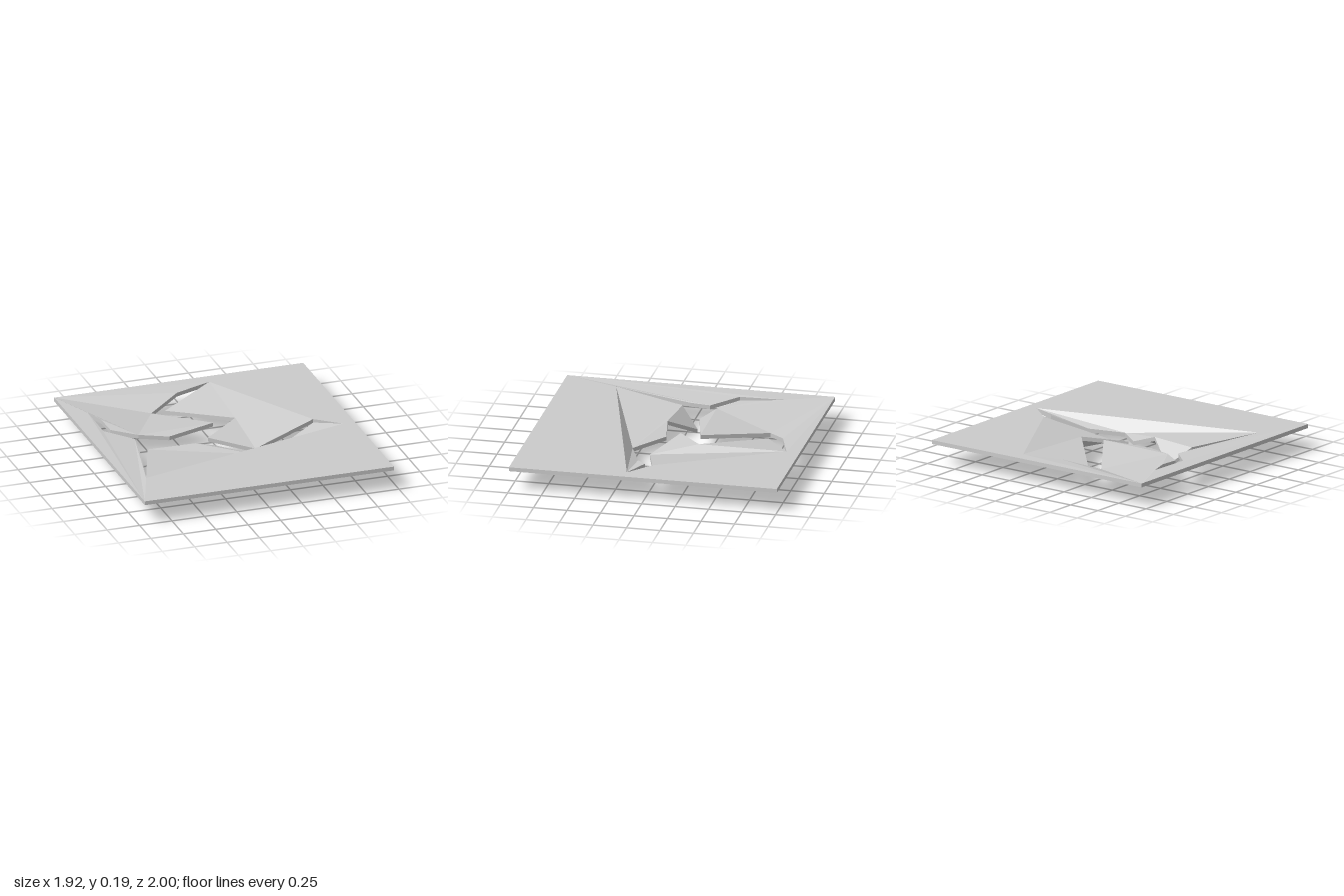
import * as THREE from 'three';

// Crack outline: x, z and how far the broken edge sags at that corner
const CRACK = [
  [0.20, -0.90, 0], [-0.08, -0.81, 0.01], [-0.33, -0.66, 0.075],
  [-0.01, -0.21, 0.01], [-0.38, -0.12, 0.03], [-0.59, -0.20, 0.02],
  [-0.76, -0.33, 0.01], [-0.77, -0.50, 0], [-0.82, -0.66, 0],
  [-0.82, -0.32, 0.005], [-0.64, -0.14, 0.02], [-0.66, 0.01, 0.02],
  [-0.81, 0.60, 0], [-0.61, 0.06, 0.025], [-0.49, -0.08, 0.155],
  [-0.25, 0.09, 0.015], [-0.08, 0.06, 0.07], [0.15, 0.26, 0.09],
  [0.41, 0.16, 0.08], [0.67, 0.05, 0], [0.87, 0.14, 0],
  [0.69, -0.01, 0], [0.20, 0.12, 0.11], [-0.11, -0.04, 0.045],
  [0.17, -0.24, 0.01], [-0.22, -0.67, 0.075],
];
const HALF_X = 0.96, HALF_Z = 1, THICKNESS = 0.03, UNDERSIDE = 0.155;

export function createModel() {
  const group = new THREE.Group();
  group.name = 'crackedSlab';

  // Flat slab with the crack cut through it
  const shape = new THREE.Shape([
    new THREE.Vector2(-HALF_X, -HALF_Z), new THREE.Vector2(HALF_X, -HALF_Z),
    new THREE.Vector2(HALF_X, HALF_Z), new THREE.Vector2(-HALF_X, HALF_Z),
  ]);
  shape.holes.push(new THREE.Path(CRACK.map(([x, z]) => new THREE.Vector2(x, -z))));
  const geometry = new THREE.ExtrudeGeometry(shape, { depth: THICKNESS, bevelEnabled: false });
  geometry.rotateX(-Math.PI / 2);
  geometry.translate(0, UNDERSIDE, 0);

  // Let the broken edges sag
  const pos = geometry.attributes.position;
  for (let i = 0; i < pos.count; i++) {
    const corner = CRACK.find(([x, z]) => Math.hypot(x - pos.getX(i), z - pos.getZ(i)) < 0.002);
    if (corner) pos.setY(i, pos.getY(i) - corner[2]);
  }
  geometry.computeVertexNormals();

  const slab = new THREE.Mesh(
    geometry,
    new THREE.MeshStandardMaterial({ color: 0xcccccc, flatShading: true })
  );
  slab.name = 'slab';
  group.add(slab);
  return group;
}
